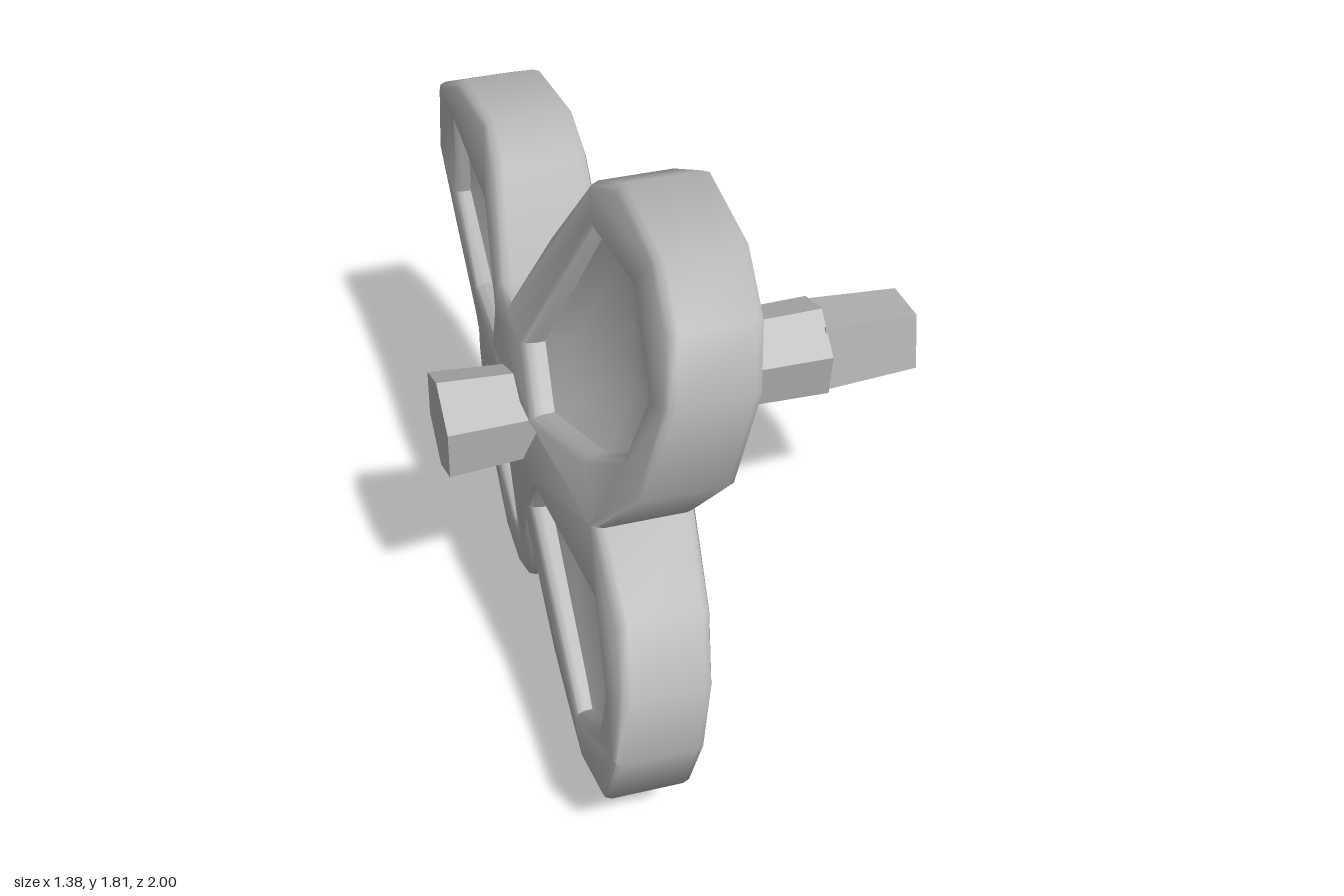
import * as THREE from 'three';
import { toCreasedNormals } from 'three/addons/utils/BufferGeometryUtils.js';

const HUB_Y = 0.9;
const grey = new THREE.MeshStandardMaterial({ color: 0xb4b4b4 });
grey.name = 'plain grey';

// Outline of the four lobes, as [-z, y] pairs
const OUTLINE = [
  [0.09, 1.21], [-0.05, 1.49], [-0.19, 1.73], [-0.34, 1.81], [-0.6, 1.76], [-0.75, 1.64], [-0.83, 1.48],
  [-0.81, 1.2], [-0.63, 0.98], [-0.85, 0.84], [-0.96, 0.68], [-1.0, 0.51], [-0.88, 0.26], [-0.62, 0.14],
  [-0.45, 0.17], [-0.3, 0.26], [-0.07, 0.54], [0, 0.53], [0.06, 0.37], [0.2, 0.1], [0.35, 0.01],
  [0.55, 0], [0.72, 0.16], [0.79, 0.4], [0.77, 0.58], [0.68, 0.72], [0.94, 0.92], [1.0, 1.17],
  [0.9, 1.43], [0.71, 1.54], [0.5, 1.52], [0.38, 1.45], [0.16, 1.22],
];

// Recess in each lobe
const RECESSES = [
  [[-0.05, 1.16], [-0.19, 1.02], [-0.5, 1.11], [-0.68, 1.24], [-0.72, 1.44], [-0.52, 1.64], [-0.25, 1.64]],
  [[-0.22, 0.81], [-0.15, 0.68], [-0.55, 0.25], [-0.82, 0.45], [-0.86, 0.62], [-0.7, 0.81]],
  [[0.25, 0.77], [0.12, 0.62], [0.25, 0.22], [0.4, 0.16], [0.6, 0.22], [0.68, 0.42], [0.6, 0.66]],
  [[0.2, 1.11], [0.4, 1.33], [0.79, 1.39], [0.87, 1.07], [0.62, 0.89], [0.25, 0.97]],
];

// How each lobe leans along x: direction, distance where it starts, slope
const LEANS = [
  { dir: [-0.5, 0.87], start: 0.15, slope: 0.22 },
  { dir: [0.92, 0.4], start: 0.75, slope: -0.11 },
  { dir: [-0.88, -0.47], start: 0.3, slope: -0.04 },
  { dir: [0.65, -0.76], start: 0.3, slope: 0.04 },
];

const vecs = (list) => list.map(([u, v]) => new THREE.Vector2(u, v));

// Places (u, v, t) in space; t runs -1..1 through the thickness
function place(u, v, t) {
  const dy = v - HUB_Y;
  const mid = LEANS.reduce((x, { dir, start, slope }) =>
    x + slope * Math.max(0, dir[0] * u + dir[1] * dy - start), -0.32);
  const half = THREE.MathUtils.lerp(0.178, 0.122, Math.min(1, Math.hypot(u, dy) / 0.85));
  return [mid + half * t, v, -u];
}

function centre(list) {
  return [0, 1].map((k) => list.reduce((s, q) => s + q[k], 0) / list.length);
}

// Scales a recess outline about its centre
function scaled(list, s) {
  const c = centre(list);
  return list.map((q) => q.map((x, k) => c[k] + (x - c[k]) * s));
}

// Rim and hub: slab with four openings and softened edges
function frameGeometry() {
  const shape = new THREE.Shape(vecs(OUTLINE));
  RECESSES.forEach((r) => shape.holes.push(new THREE.Path(vecs(scaled(r, 0.97)))));
  const g = new THREE.ExtrudeGeometry(shape, {
    depth: 1.6, steps: 1, bevelEnabled: true, bevelThickness: 0.2, bevelSize: 0.022, bevelOffset: -0.022, bevelSegments: 2,
  });
  const p = g.attributes.position;
  for (let i = 0; i < p.count; i++) {
    p.setXYZ(i, ...place(p.getX(i), p.getY(i), p.getZ(i) - 0.8));
  }
  g.deleteAttribute('uv');
  return toCreasedNormals(g, 0.85);
}

// Dished web: rings shrinking from the recess edge to its centre
function dishGeometry(list, side) {
  const n = list.length, rings = [1.02, 0.75, 0.5, 0.25, 0];
  const pos = [], idx = [];
  rings.forEach((s) => scaled(list, s).forEach(([u, v]) =>
    pos.push(...place(u, v, side * (0.1 + 0.55 * s * s)))));
  // Wind each dish so that it faces outward
  const flip = THREE.ShapeUtils.area(vecs(list)) * side < 0;
  for (let r = 0; r < rings.length - 1; r++) {
    for (let i = 0; i < n; i++) {
      const a = r * n + i, b = r * n + (i + 1) % n;
      if (flip) idx.push(a, a + n, b, b, a + n, b + n);
      else idx.push(a, b, a + n, b, b + n, a + n);
    }
  }
  const g = new THREE.BufferGeometry();
  g.setAttribute('position', new THREE.Float32BufferAttribute(pos, 3));
  g.setIndex(idx);
  return toCreasedNormals(g, 0.85);
}

// Tapered prism along x
function prism(name, x0, x1, r0, r1, sides, turn, z) {
  const g = new THREE.CylinderGeometry(r1, r0, x1 - x0, sides, 1, false, turn);
  g.rotateZ(-Math.PI / 2);
  const m = new THREE.Mesh(toCreasedNormals(g, 0.7), grey);
  m.name = name;
  m.position.set((x0 + x1) / 2, HUB_Y, z);
  return m;
}

export function createModel() {
  const model = new THREE.Group();
  model.name = 'fourLobedKnob';

  const frame = new THREE.Mesh(frameGeometry(), grey);
  frame.name = 'lobedFrame';
  model.add(frame);

  RECESSES.forEach((r, i) => {
    for (const side of [1, -1]) {
      const dish = new THREE.Mesh(dishGeometry(r, side), grey);
      dish.name = `lobeDish${i + 1}${side > 0 ? 'Left' : 'Right'}`;
      model.add(dish);
    }
  });

  model.add(
    prism('shaft', -0.3, 0.42, 0.132, 0.145, 6, -0.35, -0.055),
    prism('squareTip', 0.415, 0.69, 0.138, 0.122, 4, -0.925, -0.058),
    prism('rearStub', -0.69, -0.35, 0.153, 0.13, 6, -0.436, 0),
  );
  return model;
}
